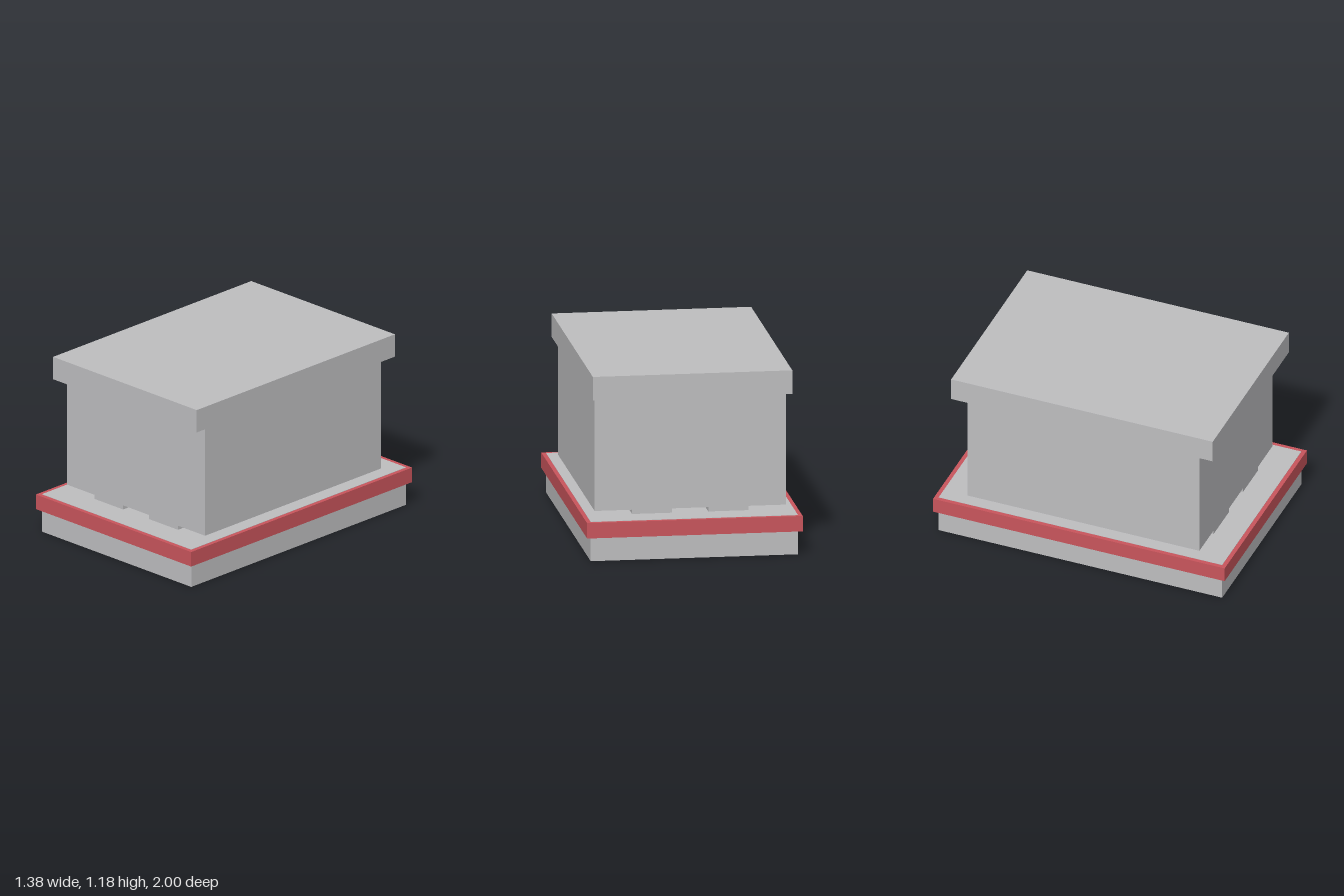
import * as THREE from 'three';

export function createModel() {
  const group = new THREE.Group();
  const grey = new THREE.MeshStandardMaterial({ color: 0xbebec0 });
  grey.name = 'light grey';
  const red = new THREE.MeshStandardMaterial({ color: 0xc9555c });
  red.name = 'muted red';

  // Box given by half width, bottom, top and half depth
  function slab(name, material, halfX, y0, y1, halfZ) {
    const mesh = new THREE.Mesh(new THREE.BoxGeometry(halfX * 2, y1 - y0, halfZ * 2), material);
    mesh.position.y = (y0 + y1) / 2;
    mesh.name = name;
    group.add(mesh);
  }

  // Base block, its top just proud of the red band around it
  slab('base', grey, 0.665, 0, 0.257, 0.972);
  slab('rimBand', red, 0.692, 0.155, 0.255, 1);

  // Body with two runners below, leaving slots open from front to back
  const body = new THREE.Shape();
  const outline = [
    [-0.614, 0.285], [-0.373, 0.285], [-0.373, 0.255], [-0.116, 0.255], [-0.116, 0.285],
    [0.116, 0.285], [0.116, 0.255], [0.373, 0.255], [0.373, 0.285], [0.614, 0.285],
    [0.614, 1.03], [-0.614, 1.03],
  ];
  body.setFromPoints(outline.map(([x, y]) => new THREE.Vector2(x, y)));
  const bodyGeometry = new THREE.ExtrudeGeometry(body, { depth: 1.59, bevelEnabled: false });
  bodyGeometry.translate(0, 0, -0.795);
  const bodyMesh = new THREE.Mesh(bodyGeometry, grey);
  bodyMesh.name = 'body';
  group.add(bodyMesh);

  // Overhanging lid
  slab('lid', grey, 0.64, 1.03, 1.183, 0.897);

  return group;
}
